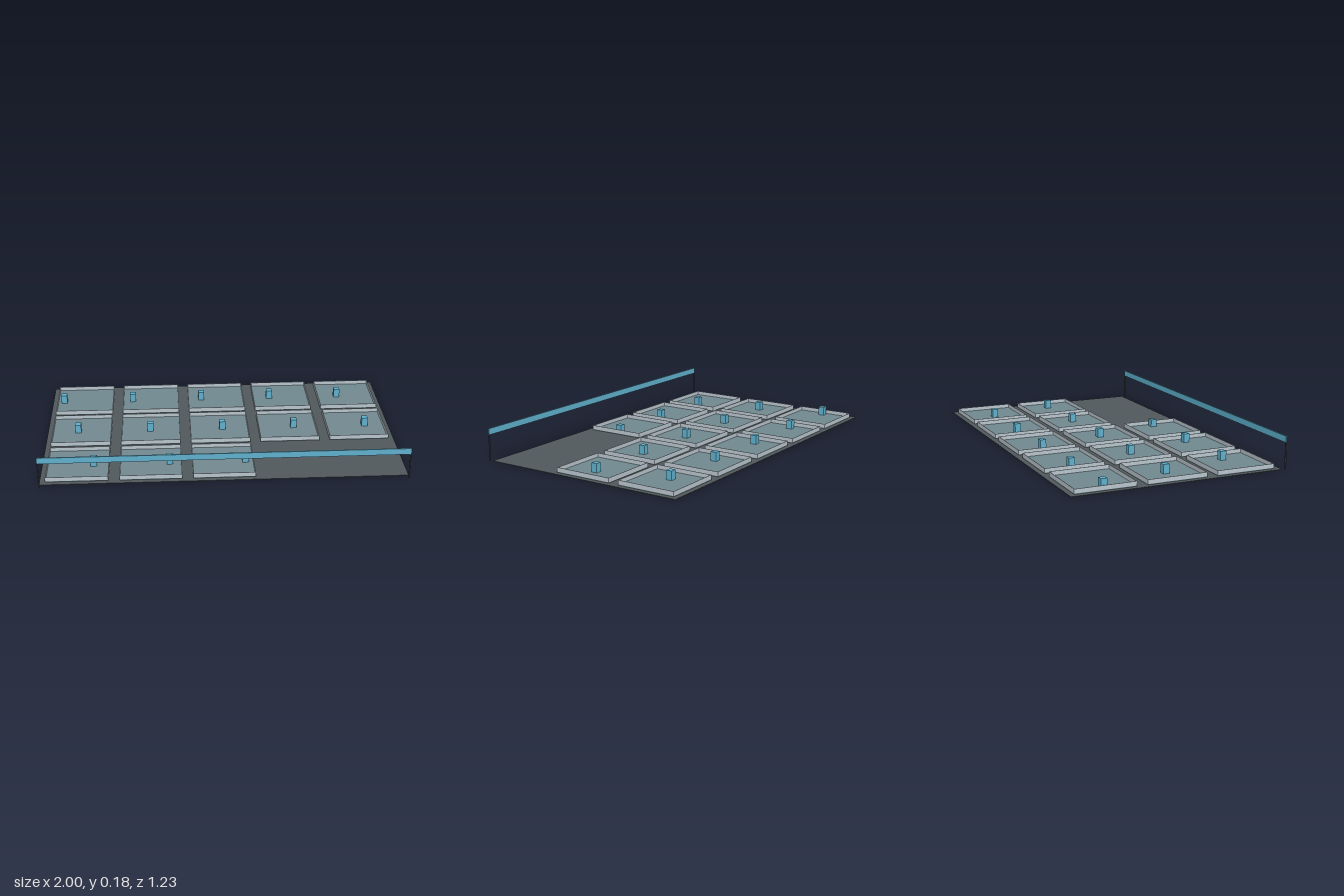
import * as THREE from 'three';

const material = (color) => new THREE.MeshStandardMaterial({ color });
const darkGrey = material(0x50585c);
const postGrey = material(0x3a4044);
const floorBlue = material(0x71888f);
const wallGrey = material(0xb8c4cc);
const brightBlue = material(0x5fb0cc);

// Box placed by its centre in x and z and by its bottom in y
function box(name, mat, w, h, d, x, bottom, z) {
  const mesh = new THREE.Mesh(new THREE.BoxGeometry(w, h, d), mat);
  mesh.name = name;
  mesh.position.set(x, bottom + h / 2, z);
  return mesh;
}

// Shallow open tray: thin floor with four upright walls
function createTray(size) {
  const tray = new THREE.Group();
  const t = 0.003, floorTop = 0.007, rim = 0.03;
  const h = rim - floorTop, edge = (size - t) / 2;
  tray.add(box('trayFloor', floorBlue, size, 0.004, size, 0, 0.003, 0));
  for (const s of [-1, 1]) {
    tray.add(box('trayWall', wallGrey, size, h, t, 0, floorTop, s * edge));
    tray.add(box('trayWall', wallGrey, t, h, size - 2 * t, s * edge, floorTop, 0));
  }
  return tray;
}

export function createModel() {
  const model = new THREE.Group();
  model.name = 'trayGrid';
  const centreZ = -0.0125, cell = 0.4, columns = 5, trayCount = 13;

  // Ground slab
  model.add(box('base', darkGrey, 2, 0.003, 1.2, 0, 0, centreZ));

  // Trays from the back row forward, each with a block shifted a little further
  for (let i = 0; i < trayCount; i++) {
    const col = i % columns, row = Math.floor(i / columns);
    const tray = createTray(0.34);
    tray.name = 'tray';
    tray.position.set((col - 2) * cell, 0, centreZ + (row - 1) * cell);
    const height = i === trayCount - 1 ? 0.043 : 0.051;
    const shift = -0.13 + 0.02 * col + 0.1075 * row;
    tray.add(box('block', brightBlue, 0.035, height, 0.035, shift, 0.007, 0));
    model.add(tray);
  }

  // Raised front beam on two thin posts
  const beamZ = 0.609, thick = 0.007;
  model.add(box('beam', brightBlue, 2, 0.035, thick, 0, 0.145, beamZ));
  for (const s of [-1, 1]) {
    model.add(box('post', postGrey, 0.006, 0.145, thick, s * 0.997, 0, beamZ));
  }
  return model;
}
